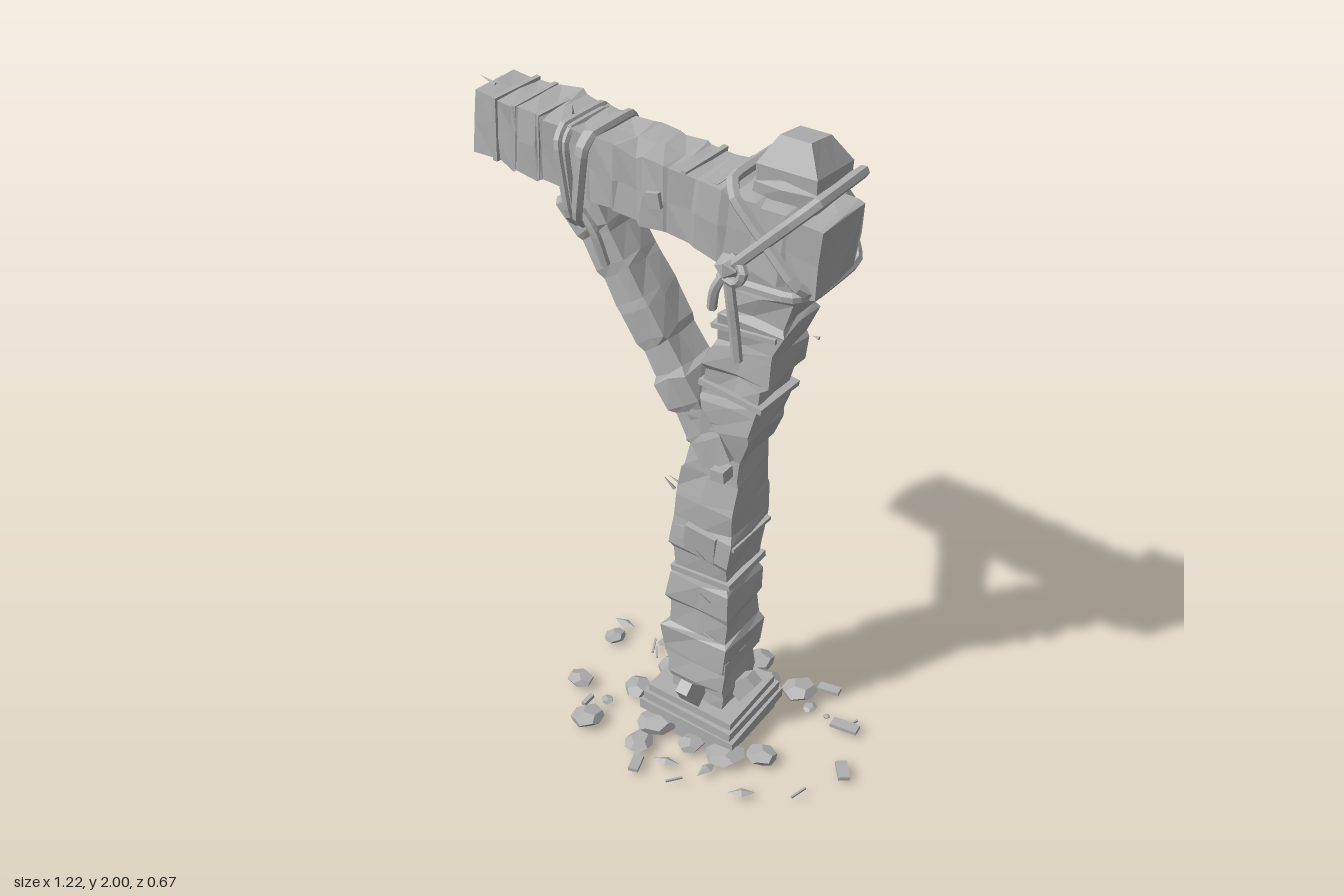
import * as THREE from 'three';

export function createModel() {
  const model = new THREE.Group();
  model.name = 'ropedTimberPost';
  const grey = new THREE.MeshStandardMaterial({ color: 0xb0b0b0, flatShading: true });
  grey.name = 'weathered grey';

  let seed = 7;
  const rnd = () => ((seed = (seed * 16807) % 2147483647) / 2147483647) * 2 - 1;
  const V = (x, y, z) => new THREE.Vector3(x, y, z);

  function add(name, geo, pos = [0, 0, 0], rot = [0, 0, 0], parent = model) {
    const m = new THREE.Mesh(geo, grey);
    m.name = name;
    m.position.set(...pos);
    m.rotation.set(...rot);
    parent.add(m);
    return m;
  }
  const box = (name, size, pos, rot, parent) => add(name, new THREE.BoxGeometry(...size), pos, rot, parent);

  // Closed skin over eight-point rings
  function skin(rings) {
    const pos = [], n = rings[0].length;
    const tri = (a, b, c) => pos.push(...a, ...b, ...c);
    for (let i = 0; i < rings.length - 1; i++)
      for (let j = 0; j < n; j++) {
        const k = (j + 1) % n, a = rings[i], b = rings[i + 1];
        tri(a[j], a[k], b[k]);
        tri(a[j], b[k], b[j]);
      }
    const first = rings[0], last = rings[rings.length - 1];
    for (let j = 1; j < n - 1; j++) {
      tri(first[0], first[j + 1], first[j]);
      tri(last[0], last[j], last[j + 1]);
    }
    const g = new THREE.BufferGeometry();
    g.setAttribute('position', new THREE.Float32BufferAttribute(pos, 3));
    g.computeVertexNormals();
    return g;
  }

  // Rough-hewn timber: stations are [x, y, z, halfWidth, halfDepth], dir is the grain
  const square = [[-1, -1], [0, -1], [1, -1], [1, 0], [1, 1], [0, 1], [-1, 1], [-1, 0]];
  function timber(name, stations, dir, cuts, rough) {
    const [dx, dy] = dir, rings = [];
    const at = (t) => {
      const f = Math.min(t, 0.9999) * (stations.length - 1), i = Math.floor(f);
      return stations[i].map((v, k) => v + (stations[i + 1][k] - v) * (f - i));
    };
    const ring = (t, grow) => {
      const [x, y, z, w, d] = at(t);
      rings.push(square.map(([u, v]) => {
        const a = v * (w + grow) + rnd() * rough * 0.5, slip = rnd() * rough * 0.6;
        return [x + dy * a + dx * slip, y - dx * a + dy * slip, z + u * (d + grow) + rnd() * rough * 0.5];
      }));
    };
    for (let i = 0; i < cuts; i++) {
      const grow = rnd() * rough * 0.7;
      ring(i / cuts, grow);
      ring((i + 0.8) / cuts, grow + rnd() * rough * 0.5);
    }
    ring(1, 0);
    return add(name, skin(rings), [0, 0, 0]);
  }

  // Main post with its bend, and the blunt head above the beam
  timber('post', [
    [0.115, 0.1, -0.022, 0.1, 0.092], [0.115, 0.3, -0.022, 0.1, 0.09], [0.12, 0.5, -0.022, 0.1, 0.09],
    [0.13, 0.7, -0.022, 0.092, 0.088], [0.14, 0.9, -0.022, 0.09, 0.086], [0.165, 1.07, -0.022, 0.088, 0.086],
    [0.205, 1.24, -0.022, 0.088, 0.084], [0.25, 1.42, -0.022, 0.09, 0.084], [0.295, 1.6, -0.022, 0.09, 0.086],
    [0.335, 1.78, -0.022, 0.088, 0.084], [0.35, 1.9, -0.022, 0.08, 0.08]], [0, 1], 20, 0.014);
  const headRing = (y, x, w, d) => square.map(([u, v]) => [x + v * w, y + u * 0.006, -0.022 + u * d]);
  add('postHead', skin([headRing(1.86, 0.35, 0.08, 0.08), headRing(1.925, 0.35, 0.083, 0.083),
    headRing(1.992, 0.348, 0.042, 0.045)]));

  // Cross beam and diagonal brace
  timber('beam', [[-0.575, 1.825, 0.002, 0.082, 0.08], [-0.25, 1.8, 0.004, 0.083, 0.08],
    [0.1, 1.775, 0.012, 0.083, 0.085], [0.485, 1.755, 0.025, 0.09, 0.093]], [0.998, -0.065], 13, 0.012);
  timber('brace', [[0.185, 1.03, 0.01, 0.055, 0.068], [-0.03, 1.35, 0.008, 0.05, 0.064],
    [-0.275, 1.71, 0.006, 0.06, 0.064]], [-0.56, 0.828], 8, 0.01);

  // Raised bands, patches and pegs on the timber
  [[0.115, 0.305, 0, 0.045, 0.212], [0.13, 0.62, 0.07, 0.02, 0.2], [0.215, 1.26, -0.12, 0.016, 0.195],
    [0.15, 0.77, -0.06, 0.012, 0.185], [0.25, 1.47, 0.08, 0.014, 0.19]].forEach(([x, y, r, h, w]) =>
    box('postBand', [w, h, 0.188], [x, y, -0.022], [r * 0.4, 0, r]));
  box('patch', [0.1, 0.095, 0.02], [0.135, 0.75, 0.075], [0.1, 0, -0.12]);
  box('frontPeg', [0.042, 0.035, 0.05], [0.2, 1.02, 0.075], [0, 0, 0.1]);
  box('backPeg', [0.04, 0.04, 0.05], [0.17, 1.07, -0.115], [0, 0, 0.15]);
  box('beamPeg', [0.04, 0.04, 0.03], [0.01, 1.78, 0.1], [0, 0, 0.2]);
  [-0.5, -0.44, -0.36, 0.08, 0.17].forEach((x, i) =>
    box('beamBand', [0.014, 0.176, 0.178], [x, 1.803 - (x + 0.2) * 0.065, 0.006], [0, 0.03 * rnd(), -0.065 + 0.05 * rnd()]));

  // Splinters: [x, y, z, tilt, length]
  [[-0.57, 1.92, 0.03, 1.2, 0.05], [-0.585, 1.89, -0.06, 1.5, 0.05], [-0.285, 1.91, 0.04, -0.2, 0.05],
    [-0.58, 1.77, 0.06, 1.7, 0.03], [0.0, 0.86, 0.0, 1.1, 0.06], [0.01, 0.89, 0.05, 0.6, 0.05],
    [0.15, 0.56, 0.08, 0.6, 0.05], [0.16, 0.42, 0.075, 1.0, 0.05], [0.2, 0.31, -0.12, 0.3, 0.04],
    [0.14, 0.72, 0.09, 0.5, 0.05], [0.4, 1.46, -0.03, 1.5, 0.02]].forEach(([x, y, z, r, l]) =>
    add('splinter', new THREE.ConeGeometry(0.006, l, 4), [x, y, z], [0.3, 0, r]));

  // Ropes
  function rope(name, pts, radius, closed = false) {
    const curve = new THREE.CatmullRomCurve3(pts, closed, 'catmullrom', closed ? 0.12 : 0.5);
    return add(name, new THREE.TubeGeometry(curve, closed ? 44 : 10, radius, 6, closed));
  }
  // Rounded loop spanning +-(ax, ay) across the timber and +-depth in z
  function ropeLoop(name, [x, y, z], [ax, ay], depth, radius) {
    const k = 0.72;
    const pts = [[1, k], [k, 1], [-k, 1], [-1, k], [-1, -k], [-k, -1], [k, -1], [1, -k]];
    rope(name, pts.map(([s, d]) => V(x + ax * s, y + ay * s, z + depth * d)), radius, true);
  }
  for (const s of [-1, 1]) {
    ropeLoop('crossLashing', [0.345, 1.78, 0], [0.115, 0.118 * s], 0.139 + s * 0.004, 0.016);
    ropeLoop('braceLashing', [-0.235 + s * 0.026, 1.763, 0.01], [s * 0.018, 0.125], 0.108, 0.014);
    ropeLoop('innerBraceLashing', [-0.237 + s * 0.014, 1.763, 0.01], [s * 0.012, 0.12], 0.1, 0.012);
  }
  ropeLoop('postLashing', [0.322, 1.64, -0.008], [0.112, 0.004], 0.125, 0.015);
  add('knot', new THREE.IcosahedronGeometry(0.036, 0), [0.25, 1.69, 0.138]);
  rope('knotLoop', [V(0.25, 1.71, 0.13), V(0.3, 1.7, 0.155), V(0.28, 1.66, 0.155), V(0.23, 1.67, 0.15)], 0.013);
  rope('longTail', [V(0.25, 1.68, 0.145), V(0.265, 1.6, 0.15), V(0.275, 1.52, 0.147), V(0.285, 1.44, 0.148)], 0.014);
  rope('shortTail', [V(0.25, 1.68, 0.15), V(0.225, 1.63, 0.16), V(0.213, 1.57, 0.155)], 0.013);
  rope('braceTail', [V(-0.225, 1.68, 0.1), V(-0.185, 1.62, 0.095), V(-0.162, 1.535, 0.085)], 0.013);
  rope('braceTail', [V(-0.24, 1.66, 0.1), V(-0.2, 1.64, 0.09), V(-0.18, 1.56, 0.083)], 0.012);

  // Stepped plinth
  [[0.0, 0.06, 0.29, 0.27], [0.05, 0.085, 0.33, 0.29], [0.08, 0.115, 0.31, 0.275], [0.11, 0.14, 0.29, 0.25]]
    .forEach(([y0, y1, w, d], i) =>
      box('plinthStep', [w, y1 - y0, d], [0.115, (y0 + y1) / 2, -0.022], [0, 0.02 * (i % 2), i ? -0.03 : 0]));

  // Wedges leaning out on all four sides of the foot
  const wedges = new THREE.Group();
  wedges.name = 'footWedges';
  wedges.position.set(0.115, 0.195, -0.022);
  model.add(wedges);
  for (let i = 0; i < 4; i++) {
    const side = new THREE.Group();
    side.rotation.y = i * Math.PI / 2;
    wedges.add(side);
    const g = new THREE.CylinderGeometry(0.028, 0.046, 0.085, 4).rotateY(Math.PI / 4);
    add('footWedge', g, [0, 0, 0.122], [0.7, 0, 0], side);
  }

  // Rubble stones: [x, z, radius]
  [[-0.17, 0.23, 0.055], [0.02, 0.225, 0.05], [0.125, -0.27, 0.058], [0.3, -0.235, 0.06], [0, -0.21, 0.043],
    [-0.32, -0.11, 0.038], [-0.04, -0.31, 0.036], [0.19, -0.195, 0.065], [-0.08, -0.09, 0.055],
    [0.15, 0.14, 0.045], [0.02, 0.13, 0.065], [0.26, 0.12, 0.065], [-0.29, 0.11, 0.045], [-0.17, 0.13, 0.022],
    [-0.18, -0.18, 0.018], [-0.11, -0.18, 0.012], [0.36, -0.2, 0.024], [0.42, -0.2, 0.012], [-0.1, -0.32, 0.012],
    [0.35, 0.06, 0.05], [-0.12, 0.04, 0.05]].forEach(([x, z, r]) => {
    const h = Math.min(0.4, 0.025 / r);
    add('stone', new THREE.DodecahedronGeometry(r, 0).rotateZ(rnd()).scale(1, h, 0.85),
      [x, 0.01 + r * h, z], [0, rnd() * 3, 0]);
  });

  // Flat chips: [x, z, length, width, turn]
  [[0.37, -0.3, 0.07, 0.03, 0.15], [0.49, -0.19, 0.085, 0.035, 0.1], [0.575, -0.03, 0.07, 0.035, -0.9],
    [0.06, 0.295, 0.06, 0.03, -1.25], [-0.16, -0.285, 0.042, 0.02, 0.5], [-0.217, 0.168, 0.045, 0.014, 1.57]]
    .forEach(([x, z, l, w, r]) => box('chip', [l, 0.012, w], [x, 0.022, z], [0, r, 0.05]));

  // Leaf-shaped shards and twigs
  [[-0.33, -0.178, 0], [0.13, 0.24, 0.3], [0.38, 0.215, 0.6], [0.245, 0.195, 1.4]].forEach(([x, z, r]) =>
    add('shard', new THREE.OctahedronGeometry(0.042).scale(1, 0.25, 0.42), [x, 0.025, z], [0, r, 0]));
  [[0.515, 0.12, 1.3, 0.055], [0.19, 0.285, 0.9, 0.05], [-0.19, -0.145, -1.1, 0.065], [-0.165, -0.125, -0.9, 0.05],
    [0.505, -0.215, 1.2, 0.03]].forEach(([x, z, r, l]) => box('twig', [l, 0.006, 0.006], [x, 0.025, z], [0, r, 0]));

  return model;
}
